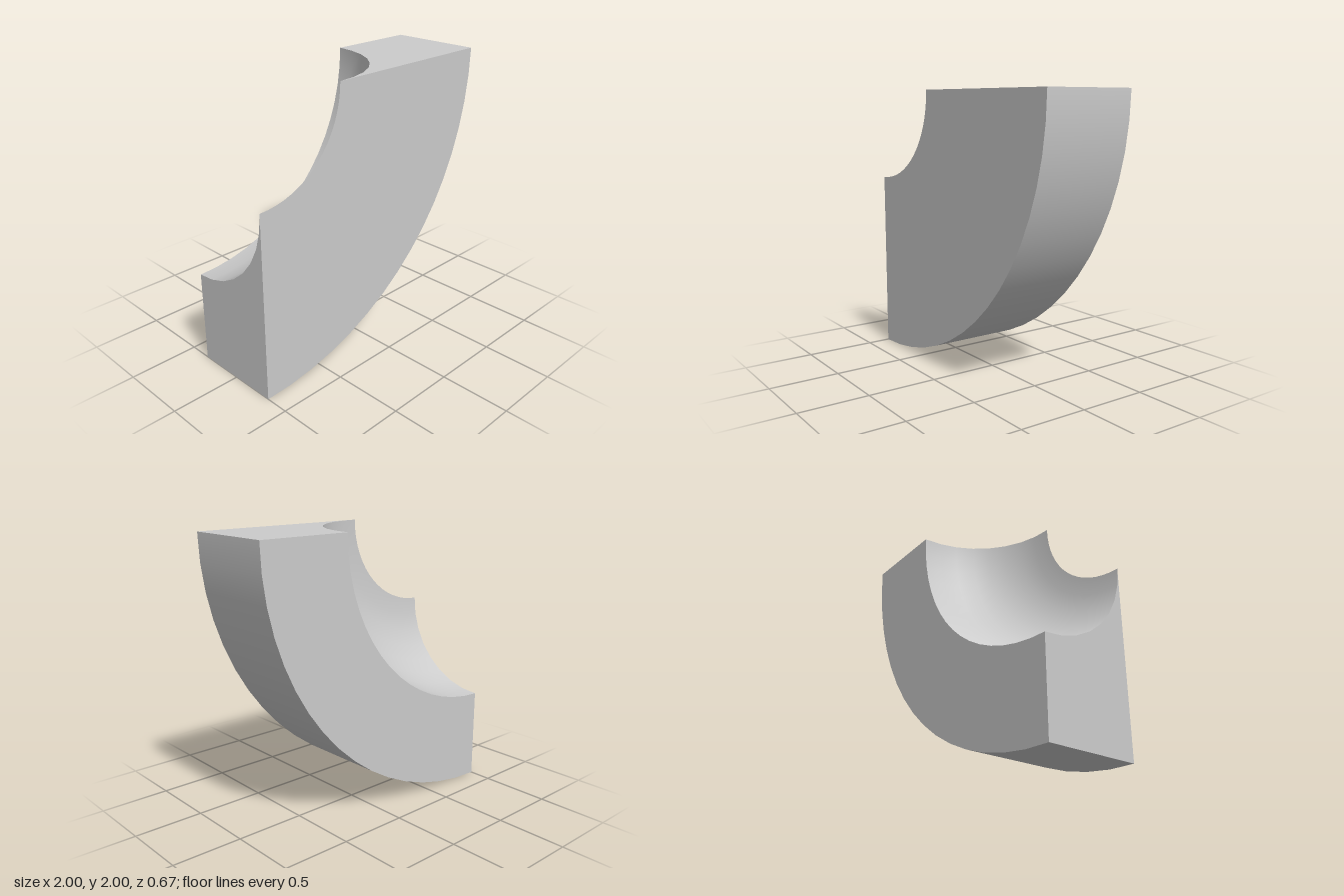
import * as THREE from 'three';

const INNER = 2 / 3, OUTER = 2, HALF = 1 / 3; // radii of the bend and half depth
const COVE = 2 / 3;                           // radius of the hollow
const BEND_STEPS = 16, COVE_STEPS = 8;

export function createModel() {
  const group = new THREE.Group();
  group.name = 'quarterRoundCove';
  const material = new THREE.MeshStandardMaterial({ color: 0xcccccc });
  const v = (r, z) => new THREE.Vector2(r, z);

  // Cross-section: radius from the bend axis, depth along z; the hollow runs front to back
  const cove = [];
  for (let i = 0; i <= COVE_STEPS; i++) {
    const a = (1 - i / COVE_STEPS) * Math.PI / 2;
    cove.push(v(INNER + COVE * Math.cos(a), -HALF + COVE * Math.sin(a)));
  }
  const backInner = v(INNER + COVE, -HALF), backOuter = v(OUTER, -HALF);
  const frontOuter = v(OUTER, HALF), frontInner = v(INNER, HALF);

  function add(name, geometry) {
    geometry.translate(-1, 2, 0);
    const mesh = new THREE.Mesh(geometry, material);
    mesh.name = name;
    group.add(mesh);
  }

  // Swept faces, one quarter turn each, kept separate for sharp edges
  const faces = {
    backFace: [backInner, backOuter],
    outerCurve: [backOuter, frontOuter],
    frontFace: [frontOuter, frontInner],
    hollow: cove,
  };
  for (const [name, points] of Object.entries(faces)) {
    add(name, new THREE.LatheGeometry(points, BEND_STEPS, 0, Math.PI / 2).rotateX(Math.PI / 2));
  }

  // Flat ends closing the sweep
  const section = [backOuter, frontOuter, ...cove];
  const end = (s) => new THREE.ShapeGeometry(
    new THREE.Shape(section.map((p) => v(p.x, s * p.y)))).rotateX(s * Math.PI / 2);
  add('topEnd', end(-1));
  add('sideEnd', end(1).rotateZ(-Math.PI / 2));

  return group;
}
